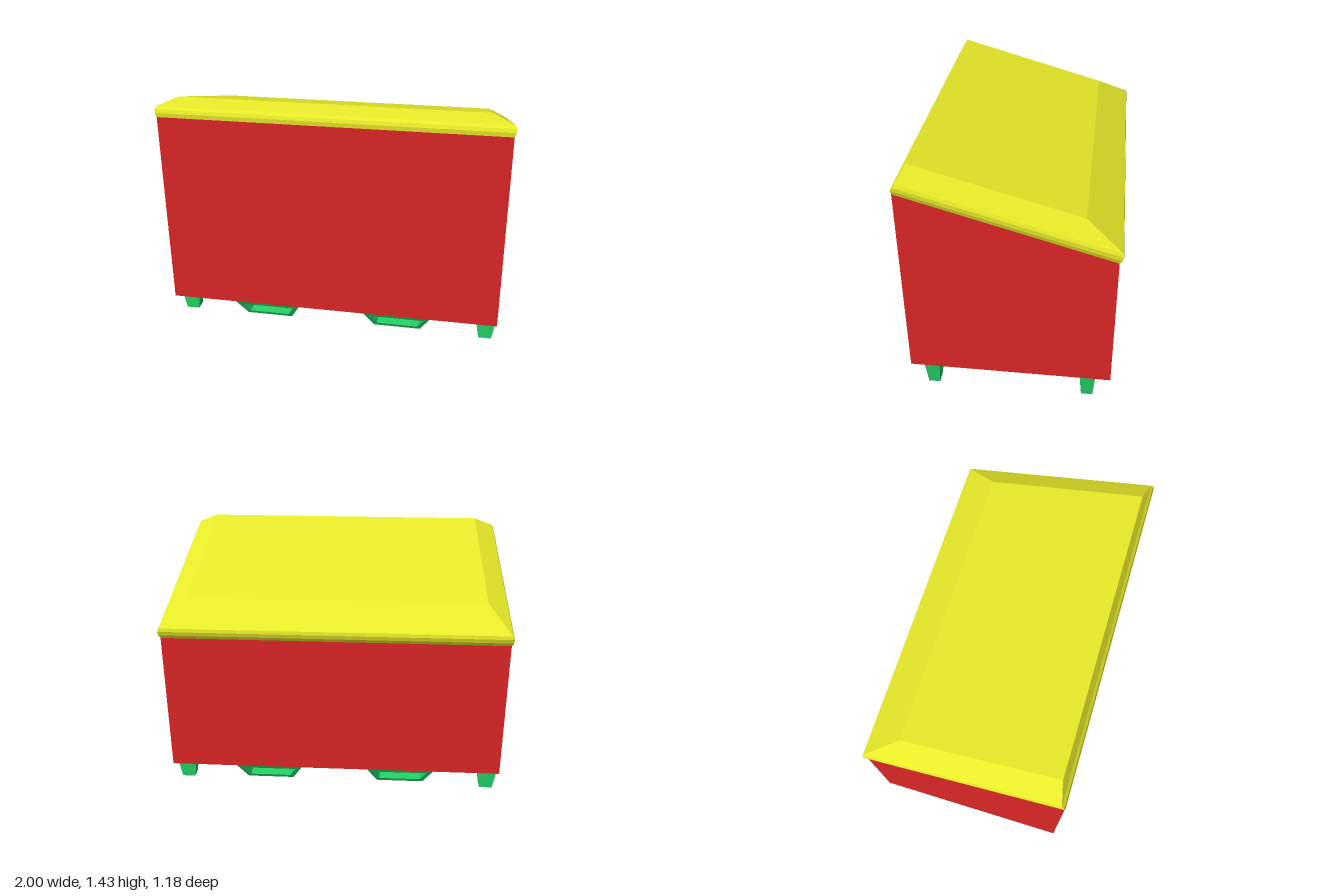
import * as THREE from 'three';

const paint = (color) => new THREE.MeshStandardMaterial({ color, flatShading: true });

// One rectangular cross-section: x range, then front edge (z, y) and back edge (z, y)
const ring = (x0, x1, zF, yF, zB, yB) => [
  [x0, yF, zF], [x1, yF, zF], [x1, yB, zB], [x0, yB, zB],
];

// Closed solid through a stack of rings, from bottom to top
function loft(rings) {
  const pos = [];
  const quad = (a, b, c, d) => pos.push(...a, ...b, ...c, ...a, ...c, ...d);
  const first = rings[0], last = rings[rings.length - 1];
  quad(first[0], first[3], first[2], first[1]);
  for (let i = 0; i < rings.length - 1; i++) {
    for (let k = 0; k < 4; k++) {
      const n = (k + 1) % 4;
      quad(rings[i][k], rings[i][n], rings[i + 1][n], rings[i + 1][k]);
    }
  }
  quad(...last);
  const geo = new THREE.BufferGeometry();
  geo.setAttribute('position', new THREE.Float32BufferAttribute(pos, 3));
  geo.computeVertexNormals();
  return geo;
}

// Hollow trapezoid channel with ends that slope inwards towards the bottom
function channelGeometry() {
  const points = (list) => list.map(([x, y]) => new THREE.Vector2(x, y));
  const shape = new THREE.Shape(points([[-0.14, 0.04], [0.14, 0.04], [0.198, 0.15], [-0.198, 0.15]]));
  shape.holes.push(new THREE.Path(points([[-0.122, 0.062], [-0.16, 0.13], [0.16, 0.13], [0.122, 0.062]])));
  const geo = new THREE.ExtrudeGeometry(shape, { depth: 1, bevelEnabled: false });
  const p = geo.attributes.position;
  for (let i = 0; i < p.count; i++) {
    const t = (p.getY(i) - 0.04) / 0.11;
    const back = THREE.MathUtils.lerp(-0.511, -0.57, t);
    const front = THREE.MathUtils.lerp(0.527, 0.588, t);
    p.setZ(i, THREE.MathUtils.lerp(back, front, p.getZ(i)));
  }
  geo.computeVertexNormals();
  return geo;
}

export function createModel() {
  const model = new THREE.Group();
  model.name = 'storageBin';
  const red = paint(0xdd2626), yellow = paint(0xe8eb28), green = paint(0x25d66a);
  const add = (name, geometry, material) => {
    const mesh = new THREE.Mesh(geometry, material);
    mesh.name = name;
    model.add(mesh);
    return mesh;
  };

  // Box with a top that slopes down to the back
  add('body', loft([
    ring(-0.99, 0.99, 0.588, 0.15, -0.57, 0.15),
    ring(-0.99, 0.99, 0.588, 1.32, -0.57, 0.985),
  ]), red);

  // Sloping lid: rounded rim, then a raised bevelled panel
  const lid = [
    [0.99, 0.588, 1.32, -0.57, 0.985],
    [0.999, 0.59, 1.345, -0.583, 1.006],
    [1.0, 0.583, 1.365, -0.59, 1.03],
    [0.992, 0.568, 1.38, -0.587, 1.05],
    [0.87, 0.537, 1.432, -0.39, 1.168],
  ];
  add('lid', loft(lid.map(([x, ...edges]) => ring(-x, x, ...edges))), yellow);

  // Two hollow channels under the floor
  const channel = channelGeometry();
  for (const side of [-1, 1]) {
    add(side > 0 ? 'leftChannel' : 'rightChannel', channel, green).position.x = side * 0.398;
  }

  // Four tapered legs
  const leg = loft([
    ring(-0.039, 0.039, 0.033, 0, -0.033, 0),
    ring(-0.062, 0.062, 0.044, 0.15, -0.044, 0.15),
  ]);
  for (const side of [-1, 1]) {
    for (const [end, z] of [['Front', 0.463], ['Back', -0.44]]) {
      const mesh = add((side > 0 ? 'left' : 'right') + end + 'Leg', leg, green);
      mesh.position.set(side * 0.928, 0, side > 0 ? z : z - 0.02);
    }
  }
  return model;
}
